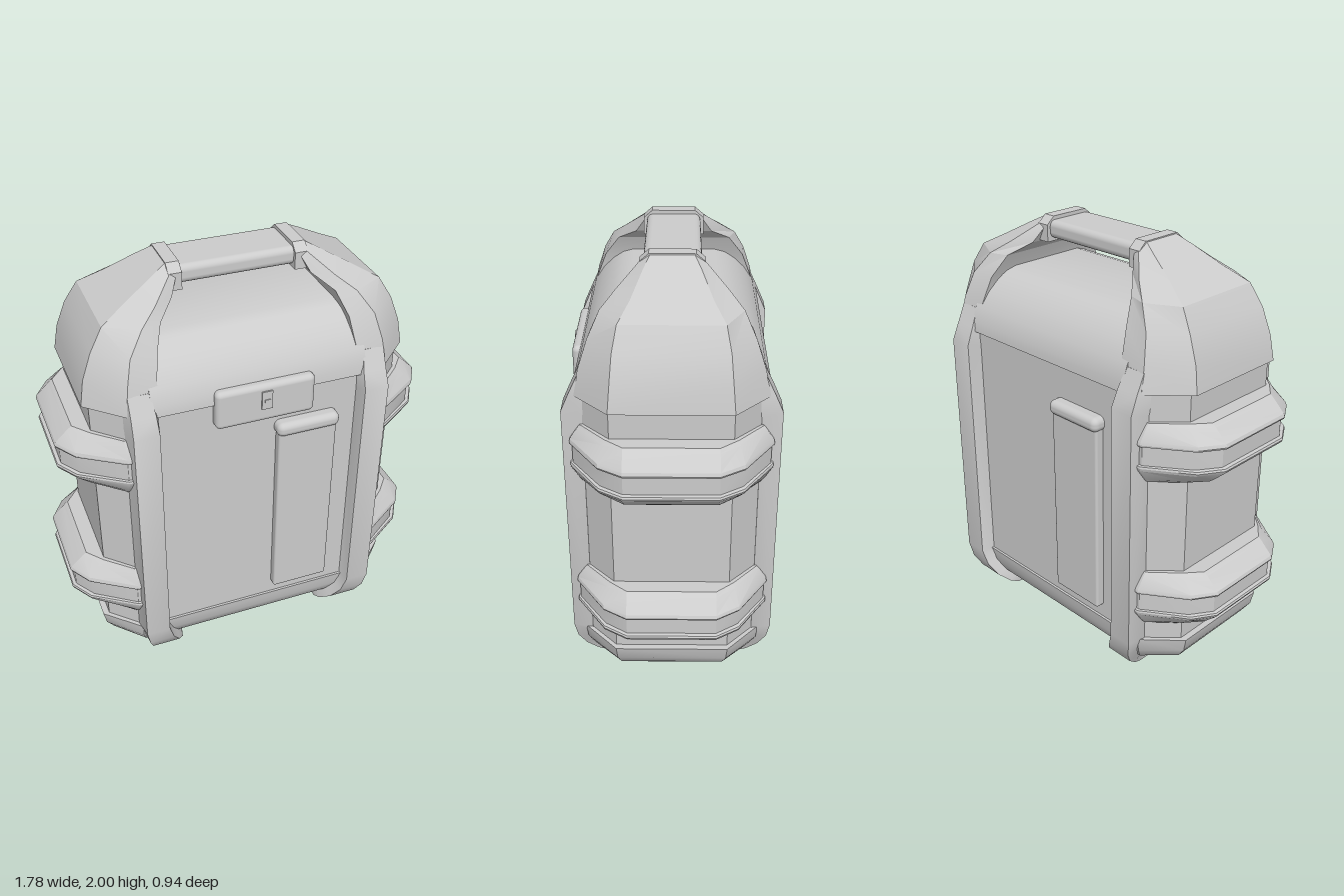
import * as THREE from 'three';
import { toCreasedNormals } from 'three/addons/utils/BufferGeometryUtils.js';
import { RoundedBoxGeometry } from 'three/addons/geometries/RoundedBoxGeometry.js';

const material = new THREE.MeshStandardMaterial({ color: 0xcccccc });

// Skin a list of rings (equal point counts), close both ends, face outwards.
function loft(rings, crease = 0.5) {
  const tris = [];
  const n = rings[0].length;
  const mid = r => [0, 1, 2].map(k => r.reduce((s, p) => s + p[k], 0) / n);
  const first = rings[0], last = rings[rings.length - 1];
  const c0 = mid(first), c1 = mid(last);
  for (let j = 0; j < n; j++) {
    const k = (j + 1) % n;
    for (let i = 0; i < rings.length - 1; i++) {
      const a = rings[i], b = rings[i + 1];
      tris.push([a[j], a[k], b[k]], [a[j], b[k], b[j]]);
    }
    tris.push([c0, first[k], first[j]], [c1, last[j], last[k]]);
  }
  let volume = 0;
  for (const [a, b, c] of tris) {
    volume += a[0] * (b[1] * c[2] - b[2] * c[1])
      + a[1] * (b[2] * c[0] - b[0] * c[2]) + a[2] * (b[0] * c[1] - b[1] * c[0]);
  }
  if (volume < 0) tris.forEach(t => t.reverse());
  const g = new THREE.BufferGeometry();
  g.setAttribute('position', new THREE.Float32BufferAttribute(tris.flat(2), 3));
  return toCreasedNormals(g, crease);
}

// Horizontal octagon: front face to xc at z, chamfered to xo at zc.
const octagon = ([y, xc, z, xo, zc]) => [
  [xc, y, z], [xo, y, zc], [xo, y, -zc], [xc, y, -z],
  [-xc, y, -z], [-xo, y, -zc], [-xo, y, zc], [-xc, y, z],
];

export function createModel() {
  const model = new THREE.Group();
  const add = (name, geometry, x = 0, y = 0, z = 0, parent = model) => {
    const mesh = new THREE.Mesh(geometry, material);
    mesh.name = name;
    mesh.position.set(x, y, z);
    parent.add(mesh);
    return mesh;
  };

  // Main shell, flat panels and rounded base
  add('bodyShell', loft([0.15, 1.52].map(y => octagon([y, 0.6, 0.39, 0.735, 0.26])), 0.3));
  add('panels', new THREE.BoxGeometry(0.98, 1.28, 0.806), 0, 0.84, 0);
  add('base', loft([
    [0.22, 0.6, 0.415, 0.765, 0.26],
    [0.15, 0.6, 0.405, 0.75, 0.255],
    [0.09, 0.58, 0.375, 0.71, 0.24],
    [0.045, 0.54, 0.32, 0.665, 0.21],
  ].map(octagon), 0.55));

  // Domed lid between the shoulders
  const half = [[0.425, 1.46], [0.42, 1.51], [0.395, 1.58], [0.35, 1.65], [0.3, 1.7], [0.25, 1.735], [0.2, 1.75]];
  const lid = [...half, ...half.map(([z, y]) => [-z, y]).reverse()];
  add('lid', loft([-0.5, 0.5].map(x => lid.map(([z, y]) => [x, y, z]))));

  // Carrying handle
  add('handle', new RoundedBoxGeometry(0.56, 0.085, 0.25, 3, 0.03), 0, 1.942, 0);

  for (const s of [1, -1]) {
    const side = new THREE.Group();
    side.name = s > 0 ? 'leftSide' : 'rightSide';
    model.add(side);

    // Shoulder rising into the handle: y, inner x and z, chamfer x and z, outer x and z
    const shoulder = [
      [1.48, 0.46, 0.41, 0.6, 0.415, 0.765, 0.26],
      [1.6, 0.46, 0.385, 0.59, 0.39, 0.745, 0.25],
      [1.72, 0.44, 0.34, 0.56, 0.35, 0.7, 0.24],
      [1.82, 0.4, 0.27, 0.49, 0.3, 0.64, 0.22],
      [1.88, 0.32, 0.18, 0.41, 0.235, 0.53, 0.17],
      [1.96, 0.28, 0.13, 0.32, 0.145, 0.385, 0.12],
      [2.0, 0.26, 0.09, 0.28, 0.1, 0.31, 0.09],
    ].map(([y, xi, zi, xc, zf, xo, zc]) => [
      [xi, zi], [xc, zf], [xo, zc], [xo, -zc], [xc, -zf], [xi, -zi],
    ].map(([x, z]) => [s * x, y, z]));
    add('shoulder', loft(shoulder, 0.45), 0, 0, 0, side);

    // Collar holding the handle end
    const collar = [[0.14, 1.885], [0.14, 1.965], [0.1, 2], [-0.1, 2], [-0.14, 1.965], [-0.14, 1.885]];
    add('handleCollar', loft([0.26, 0.32].map(x => collar.map(([z, y]) => [s * x, y, z]))), 0, 0, 0, side);

    // Frame rib running down the front, under the base and up the back:
    // outer y and z, inner y and z, centre x, outer and inner half width
    const stations = [
      [1.57, 0.395, 1.56, 0.33, 0.545, 0.05, 0.06],
      [1.48, 0.437, 1.48, 0.36, 0.54, 0.055, 0.08],
      [1.4, 0.472, 1.38, 0.38, 0.54, 0.058, 0.073],
      [0.22, 0.472, 0.22, 0.38, 0.54, 0.058, 0.073],
      [0.14, 0.458, 0.17, 0.36, 0.52, 0.062, 0.078],
      [0.07, 0.42, 0.12, 0.33, 0.49, 0.07, 0.085],
      [0.02, 0.365, 0.09, 0.29, 0.465, 0.078, 0.088],
      [0, 0.32, 0.08, 0.26, 0.455, 0.08, 0.088],
    ];
    const rib = (m, list) => list.map(([y, z, yi, zi, cx, w, wi]) => [
      [s * (cx - wi), yi, m * zi], [s * (cx - w), y, m * z],
      [s * (cx + w), y, m * z], [s * (cx + wi), yi, m * zi],
    ]);
    add('frameRib', loft([...rib(1, stations), ...rib(-1, [...stations].reverse())], 0.6), 0, 0, 0, side);

    // Two double-ridged bumpers: height, inset from the widest outline
    for (const y0 of [0.32, 1.07]) {
      const bumper = [
        [0, 0.085], [0.015, 0.065], [0.07, 0.006], [0.083, 0], [0.092, 0.004], [0.095, 0.02],
        [0.183, 0.02], [0.186, 0.004], [0.195, 0], [0.21, 0.006], [0.265, 0.065], [0.28, 0.085],
      ].map(([h, d]) => {
        const e = d * 0.6;
        const half = [[0.5, 0.44 - e], [0.62, 0.44 - e], [0.825 - d, 0.305 - e * 0.5], [0.89 - d, 0.2]];
        return [...half, ...half.map(([x, z]) => [x, -z]).reverse()].map(([x, z]) => [s * x, y0 + h, z]);
      });
      add(y0 < 1 ? 'lowerBumper' : 'upperBumper', loft(bumper, 0.4), 0, 0, 0, side);
    }
  }

  // Tall side pocket with a wider head, on the front and turned to the back
  for (const back of [false, true]) {
    const pocket = new THREE.Group();
    pocket.name = back ? 'backPocket' : 'frontPocket';
    if (back) pocket.rotation.y = Math.PI;
    model.add(pocket);
    add('pocketBody', new RoundedBoxGeometry(0.285, 0.96, 0.1, 3, 0.012), 0.222, 0.77, 0.395, pocket);
    add('pocketHead', new RoundedBoxGeometry(0.305, 0.07, 0.11, 4, 0.03), 0.222, 1.263, 0.408, pocket);
  }

  // Front latch with its small catch
  add('latch', new RoundedBoxGeometry(0.465, 0.19, 0.07, 4, 0.025), 0.01, 1.435, 0.418);
  add('latchCatch', new THREE.BoxGeometry(0.05, 0.09, 0.02), 0.01, 1.455, 0.45);
  add('latchCatchTab', new THREE.BoxGeometry(0.026, 0.03, 0.024), 0.01, 1.445, 0.452);

  return model;
}
